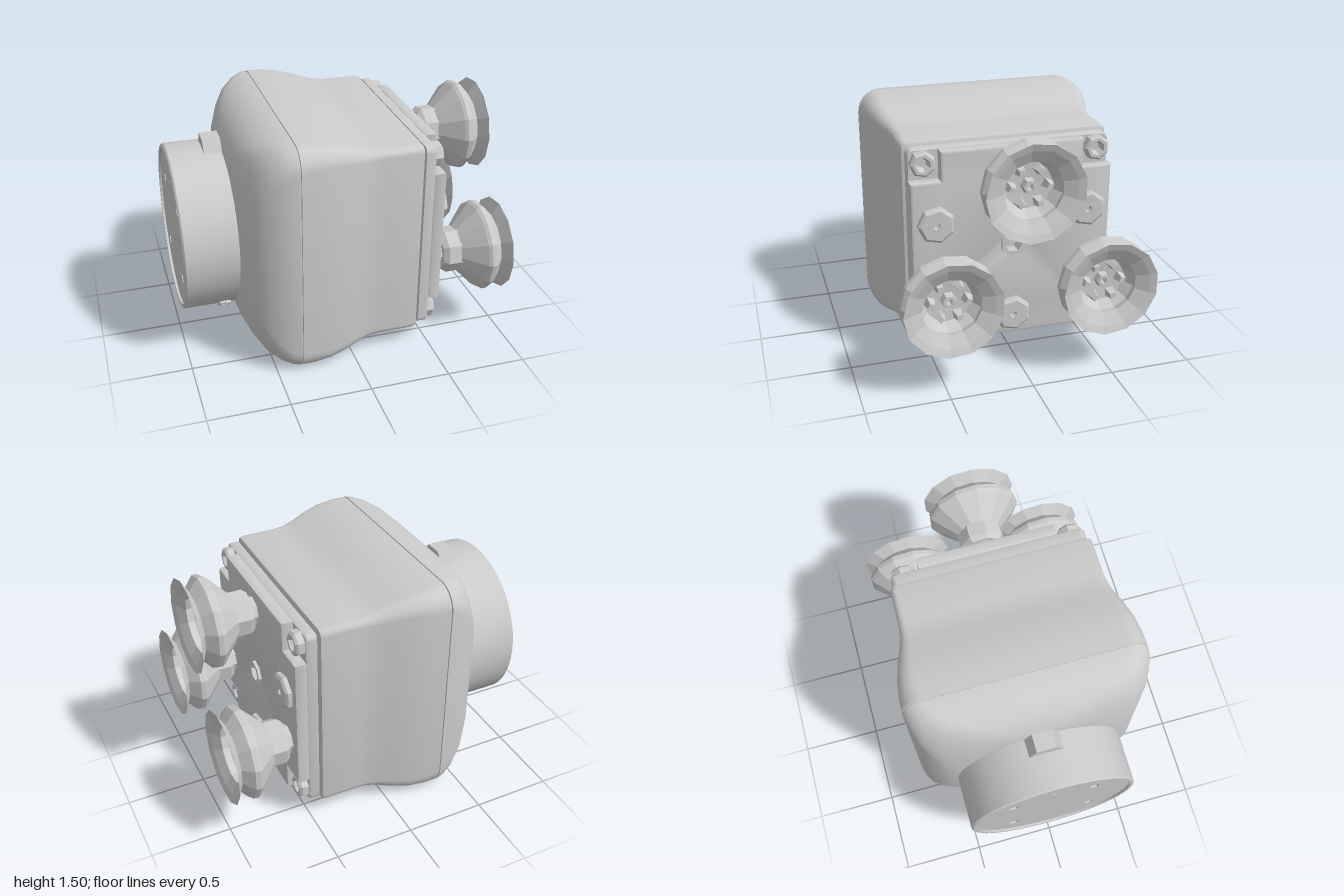
import * as THREE from 'three';
import { toCreasedNormals } from 'three/addons/utils/BufferGeometryUtils.js';

const smooth = new THREE.MeshStandardMaterial({ color: 0xcccccc });
const faceted = new THREE.MeshStandardMaterial({ color: 0xcccccc, flatShading: true });

function add(parent, name, geometry, material = smooth, x = 0, y = 0, z = 0) {
  const mesh = new THREE.Mesh(geometry, material);
  mesh.name = name;
  mesh.position.set(x, y, z);
  parent.add(mesh);
  return mesh;
}

// Turned part around the x axis; points are [x, radius]
function turned(points, sides, start = 0) {
  const profile = points.map(([x, r]) => new THREE.Vector2(r, x));
  return new THREE.LatheGeometry(profile, sides, start).rotateZ(-Math.PI / 2);
}

// Flat plate in the y-z plane, from x0 to x1
function plate(shape, x0, x1, bevel = 0) {
  const geo = new THREE.ExtrudeGeometry(shape, {
    depth: x1 - x0 - 2 * bevel, bevelEnabled: bevel > 0, bevelSize: bevel,
    bevelThickness: bevel, bevelOffset: -bevel, bevelSegments: 2, curveSegments: 16,
  });
  return toCreasedNormals(geo.translate(0, 0, x0 + bevel).rotateY(Math.PI / 2), 0.5);
}

function polygon(Type, cx, cy, r, sides) {
  const pts = [];
  for (let i = 0; i < sides; i++) {
    const a = (i / sides) * Math.PI * 2;
    pts.push(new THREE.Vector2(cx + r * Math.cos(a), cy + r * Math.sin(a)));
  }
  return new Type(pts);
}

// Raised head with a recess in its end
function socketHead(height, r, holeR, depth, sides) {
  return turned([[0, r], [height * 0.75, r], [height, r * 0.82], [height, holeR],
    [height - depth, holeR * 0.6], [height - depth, 0]], sides);
}

// Rounded-square sections [x, half size, corner radius] lofted along x
function loftSquares(sections, steps = 7) {
  const pos = [], idx = [], n = 4 * (steps + 1);
  for (const [x, half, r] of sections) {
    for (let c = 0; c < 4; c++) {
      const mid = (c + 0.5) * Math.PI / 2;
      const cy = Math.sign(Math.cos(mid)) * (half - r), cz = Math.sign(Math.sin(mid)) * (half - r);
      for (let s = 0; s <= steps; s++) {
        const a = (c + s / steps) * Math.PI / 2;
        pos.push(x, cy + r * Math.cos(a), cz + r * Math.sin(a));
      }
    }
  }
  const last = sections.length - 1, first = pos.length / 3;
  pos.push(sections[0][0], 0, 0, sections[last][0], 0, 0);
  for (let j = 0; j < n; j++) {
    const k = (j + 1) % n;
    for (let i = 0; i < last; i++) {
      const a = i * n + j, b = i * n + k;
      idx.push(a, b, a + n, b, b + n, a + n);
    }
    idx.push(first, k, j, first + 1, last * n + j, last * n + k);
  }
  const geo = new THREE.BufferGeometry();
  geo.setAttribute('position', new THREE.Float32BufferAttribute(pos, 3));
  geo.setIndex(idx);
  return toCreasedNormals(geo, 0.6);
}

function suctionCup() {
  const cup = new THREE.Group();
  cup.name = 'suctionCup';
  add(cup, 'cupStem', turned([[0.56, 0.09], [0.63, 0.09]], 8), faceted);
  add(cup, 'cupFitting', turned([[0.61, 0], [0.61, 0.12], [0.64, 0.145], [0.74, 0.145], [0.74, 0]], 8, 0.2), faceted);
  // Bellows outside, then lip, then hollow inside
  add(cup, 'cupBellows', turned([[0.72, 0.14], [0.845, 0.275], [0.865, 0.288], [0.895, 0.285],
    [0.955, 0.215], [1, 0.293], [0.985, 0.25], [0.945, 0.175], [0.9, 0.185], [0.84, 0.14], [0.83, 0]], 13), faceted);
  add(cup, 'cupPort', turned([[0.82, 0.05], [0.88, 0.04], [0.88, 0.02], [0.84, 0.015], [0.84, 0]], 6), faceted);
  for (let i = 0; i < 6; i++) {
    const a = (i + 0.5) * Math.PI / 3;
    const cleat = add(cup, 'cupCleat', new THREE.CylinderGeometry(0.022, 0.038, 0.07, 4, 1).rotateZ(-Math.PI / 2),
      faceted, 0.865, 0.11 * Math.cos(a), 0.11 * Math.sin(a));
    cleat.rotation.x = a + 0.4;
  }
  return cup;
}

export function createModel() {
  const model = new THREE.Group();
  model.name = 'vacuumGripper';
  const unit = new THREE.Group();
  unit.name = 'gripperUnit';
  unit.position.y = 0.745;
  model.add(unit);

  // Housing: round at the back, swelling to a square, then necking in
  add(unit, 'housing', loftSquares([
    [-0.665, 0.5, 0.49], [-0.655, 0.53, 0.48], [-0.63, 0.585, 0.4], [-0.59, 0.638, 0.32],
    [-0.53, 0.69, 0.24], [-0.46, 0.722, 0.18], [-0.4, 0.738, 0.15], [-0.359, 0.742, 0.14],
    [-0.356, 0.736, 0.14], [-0.35, 0.736, 0.14], [-0.347, 0.742, 0.14], [-0.27, 0.738, 0.125],
    [-0.16, 0.723, 0.105], [-0.05, 0.694, 0.085], [0.04, 0.664, 0.07], [0.11, 0.645, 0.055],
    [0.18, 0.637, 0.045], [0.4, 0.635, 0.04], [0.422, 0.628, 0.04], [0.43, 0.61, 0.035],
  ]));

  // Rear coupling with a recessed end plate
  add(unit, 'coupling', toCreasedNormals(turned([[-0.93, 0], [-0.93, 0.492], [-1, 0.492],
    [-1, 0.512], [-0.99, 0.522], [-0.672, 0.522], [-0.672, 0.5], [-0.64, 0.5]], 48), 0.5));
  const disc = new THREE.Shape().absarc(0, 0, 0.492, 0, Math.PI * 2);
  for (const sz of [-1, 1]) for (const sy of [-1, 1])
    disc.holes.push(polygon(THREE.Path, sz * 0.25, sy * 0.23, 0.035, 6));
  disc.holes.push(polygon(THREE.Path, 0, 0.31, 0.016, 6));
  add(unit, 'couplingEndPlate', plate(disc, -0.985, -0.95));

  // Locating key on top of the coupling
  const key = new THREE.Shape([[-0.12, 0.48], [0.12, 0.48], [0.06, 0.585], [-0.06, 0.585]]
    .map(([z, y]) => new THREE.Vector2(z, y)));
  add(unit, 'couplingKey', plate(key, -0.78, -0.67));

  // Radial set screws low on both sides of the coupling
  for (const s of [-1, 1]) {
    const a = 0.7;
    const screw = add(unit, 'setScrew', socketHead(0.025, 0.045, 0.028, 0.02, 7), faceted,
      -0.75, -0.515 * Math.cos(a), s * 0.515 * Math.sin(a));
    screw.quaternion.setFromUnitVectors(new THREE.Vector3(1, 0, 0),
      new THREE.Vector3(0, -Math.cos(a), s * Math.sin(a)));
  }

  // Front plates: full base, then a face plate notched at the corners
  add(unit, 'plateNeck', new THREE.BoxGeometry(0.06, 1.19, 1.19), smooth, 0.43);
  add(unit, 'basePlate', loftSquares([[0.436, 0.605, 0.04], [0.442, 0.614, 0.04],
    [0.495, 0.614, 0.04], [0.505, 0.608, 0.04]]));
  const h = 0.614, n = 0.435;
  const face = new THREE.Shape([[n, -h], [n, -n], [h, -n], [h, n], [n, n], [n, h],
    [-n, h], [-n, n], [-h, n], [-h, -n], [-n, -n], [-n, -h]].map(([z, y]) => new THREE.Vector2(z, y)));
  face.holes.push(polygon(THREE.Path, 0, 0, 0.06, 6));
  add(unit, 'facePlate', plate(face, 0.5, 0.58, 0.015));
  const rim = polygon(THREE.Shape, 0, 0, 0.08, 7);
  rim.holes.push(polygon(THREE.Path, 0, 0, 0.055, 6));
  add(unit, 'centreRim', plate(rim, 0.57, 0.6), faceted);

  // Corner screws in the notches
  for (const sz of [-1, 1]) for (const sy of [-1, 1])
    add(unit, 'cornerScrew', socketHead(0.06, 0.078, 0.045, 0.045, 7), faceted, 0.5, sy * 0.535, sz * 0.53);

  // Hexagonal plugs between the cups
  for (const [y, z] of [[0.175, 0.47], [0.175, -0.465], [-0.47, 0]])
    add(unit, 'hexPlug', turned([[0.57, 0.115], [0.605, 0.112], [0.618, 0.095], [0.618, 0.022],
      [0.585, 0.018], [0.585, 0]], 7), faceted, 0, y, z);

  // Three suction cups
  for (const [y, z] of [[0.465, 0], [-0.18, 0.47], [-0.18, -0.47]]) {
    const cup = suctionCup();
    cup.position.set(0, y, z);
    unit.add(cup);
  }
  return model;
}
